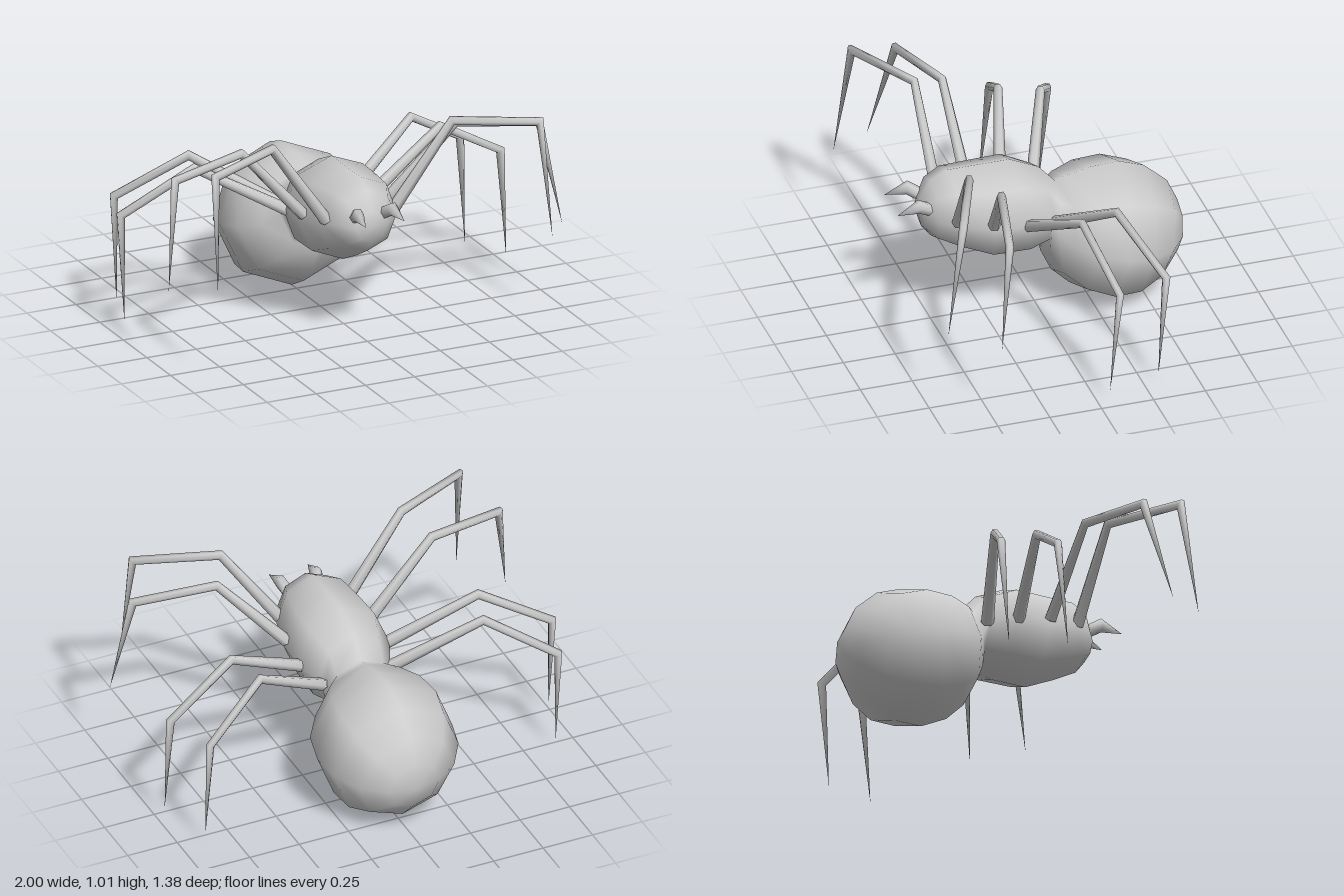
import * as THREE from 'three';

const V = (x, y, z) => new THREE.Vector3(x, y, z);

// Smooth skin over a list of rings, closed by a point at each end.
function loft(name, material, start, rings, end) {
  const n = rings[0].length;
  const points = [start, ...rings.flat(), end];
  const last = points.length - 1;
  const index = [];
  for (let i = 0; i < n; i++) {
    const j = (i + 1) % n;
    index.push(0, 1 + j, 1 + i);
    for (let r = 0; r < rings.length - 1; r++) {
      const a = 1 + r * n, b = a + n;
      index.push(a + i, a + j, b + j, a + i, b + j, b + i);
    }
    index.push(last - n + i, last - n + j, last);
  }
  const geometry = new THREE.BufferGeometry().setFromPoints(points);
  geometry.setIndex(index);
  geometry.computeVertexNormals();
  const mesh = new THREE.Mesh(geometry, material);
  mesh.name = name;
  return mesh;
}

// Jointed limb: mitred rings at every joint, tapering to a point.
function limb(name, material, path, radii, sides) {
  const dirs = path.slice(1).map((p, i) => p.clone().sub(path[i]).normalize());
  const across = V(0, 1, 0).cross(path[path.length - 2].clone().sub(path[0])).normalize();
  const rings = radii.map((radius, k) => {
    const before = dirs[Math.max(k - 1, 0)], after = dirs[k];
    const t = before.clone().add(after).normalize();
    const u = across.clone().addScaledVector(t, -across.dot(t)).normalize();
    const v = t.clone().cross(u);
    const mitre = 1 / t.dot(after);
    return Array.from({ length: sides }, (_, i) => {
      const a = (i / sides) * Math.PI * 2;
      return path[k].clone()
        .addScaledVector(u, radius * Math.cos(a))
        .addScaledVector(v, radius * mitre * Math.sin(a));
    });
  });
  const base = path[0].clone().addScaledVector(dirs[0], -radii[0] * 0.4);
  return loft(name, material, base, rings, path[path.length - 1]);
}

export function createModel() {
  const group = new THREE.Group();
  const grey = new THREE.MeshStandardMaterial({ color: 0xcccccc });

  // Body sections, front to back: top z, top y, bottom z, bottom y, half width
  const sections = [
    [0.55, 0.66, 0.545, 0.51, 0.08],
    [0.50, 0.745, 0.50, 0.45, 0.145],
    [0.42, 0.785, 0.38, 0.385, 0.195],
    [0.27, 0.785, 0.24, 0.32, 0.225],
    [0.12, 0.785, 0.06, 0.32, 0.232],
    [-0.02, 0.72, -0.04, 0.345, 0.18],
    [-0.10, 0.63, -0.03, 0.27, 0.165],
    [-0.15, 0.645, -0.08, 0.16, 0.24],
    [-0.27, 0.67, -0.17, 0.07, 0.315],
    [-0.41, 0.675, -0.30, 0.005, 0.34],
    [-0.53, 0.63, -0.43, 0.005, 0.315],
    [-0.64, 0.53, -0.55, 0.06, 0.24],
    [-0.69, 0.42, -0.66, 0.17, 0.13],
  ];
  const rings = sections.map(([tz, ty, bz, by, w]) =>
    Array.from({ length: 8 }, (_, i) => {
      const a = (i / 8) * Math.PI * 2, c = Math.cos(a) / 2;
      return V(w * Math.sin(a), (ty + by) / 2 + c * (ty - by), (tz + bz) / 2 + c * (tz - bz));
    }));
  group.add(loft('body', grey, V(0, 0.585, 0.56), rings, V(0, 0.285, -0.695)));

  // Legs: hip, upper joint, lower joint, tip; bend is the z shift of the right legs
  const legs = [
    { name: 'frontLeg', bend: [-0.03, 0], path: [[0.17, 0.60, 0.42], [0.45, 1.0, 0.46], [0.825, 0.985, 0.61], [0.85, 0.44, 0.69]] },
    { name: 'secondLeg', bend: [-0.06, -0.045], path: [[0.21, 0.58, 0.26], [0.53, 0.935, 0.33], [0.915, 0.9, 0.415], [1.0, 0.41, 0.48]] },
    { name: 'thirdLeg', bend: [0, 0], path: [[0.21, 0.545, 0.095], [0.625, 0.775, -0.03], [0.965, 0.575, -0.10], [0.97, 0.07, -0.05]] },
    { name: 'rearLeg', bend: [0, 0], path: [[0.17, 0.515, -0.045], [0.565, 0.765, -0.215], [0.88, 0.57, -0.35], [0.885, 0.06, -0.31]] },
  ];
  // Fangs: base, bend, tip
  const fang = [[0.065, 0.625, 0.51], [0.09, 0.67, 0.585], [0.098, 0.645, 0.69]];

  for (const [side, s] of [['left', 1], ['right', -1]]) {
    for (const { name, bend, path } of legs) {
      const points = path.map(([x, y, z], k) =>
        V(s * x, y, z + (s < 0 && (k === 1 || k === 2) ? bend[k - 1] : 0)));
      group.add(limb(`${side} ${name}`, grey, points, [0.03, 0.021, 0.02], 6));
    }
    const points = fang.map(([x, y, z]) => V(s * x, y, z));
    group.add(limb(`${side} fang`, grey, points, [0.03, 0.03], 6));
  }
  return group;
}
